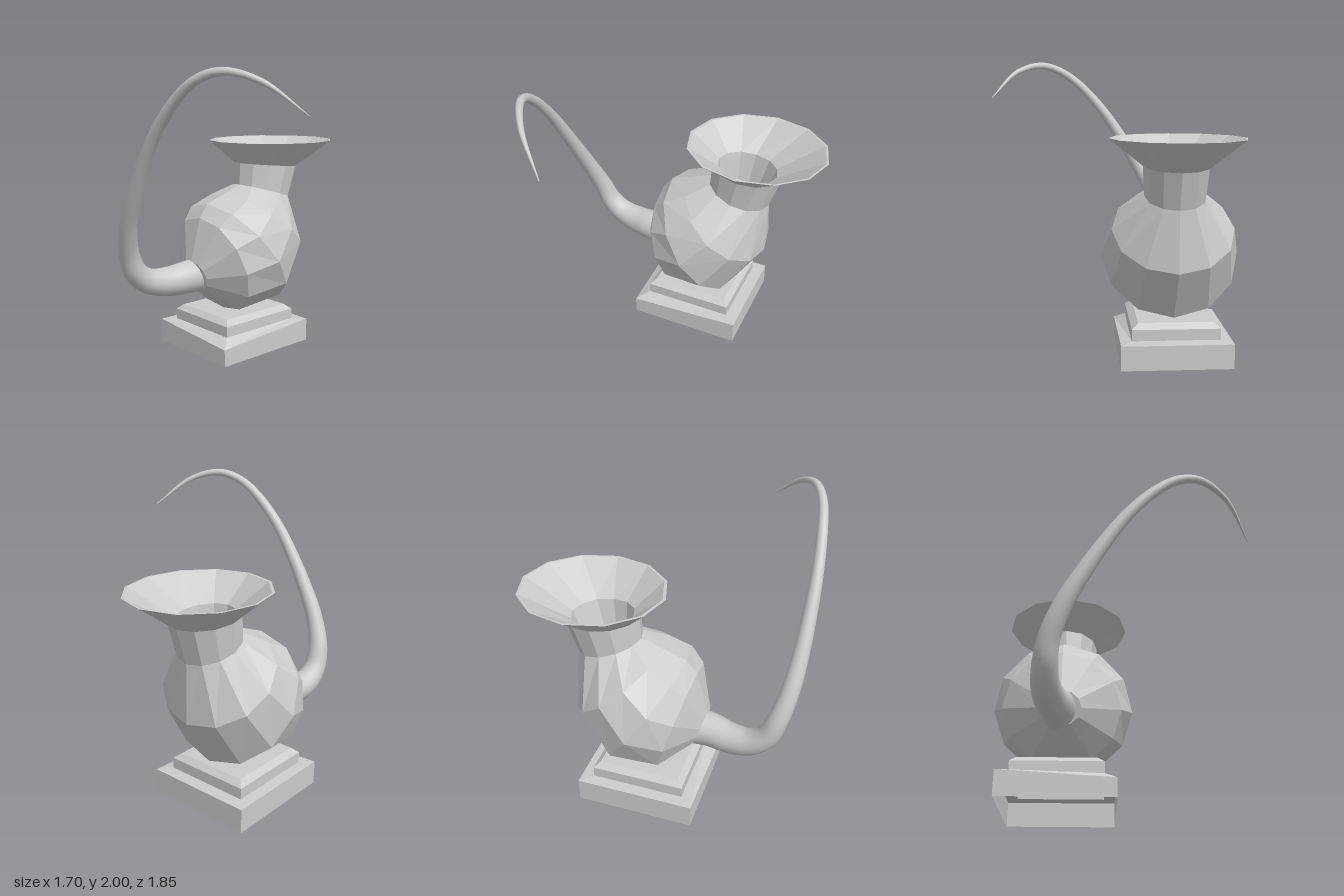
import * as THREE from 'three';

const CX = -0.385; // vase axis in x
const SIDES = 12;

// Skin a list of equal-length closed rings, with optional fan caps
function loft(rings, capStart, capEnd) {
  const pos = [], index = [], n = rings[0].length;
  rings.forEach(r => r.forEach(p => pos.push(...p)));
  for (let i = 0; i < rings.length - 1; i++) {
    for (let j = 0; j < n; j++) {
      const k = (j + 1) % n, a = i * n, b = a + n;
      index.push(a + j, a + k, b + k, a + j, b + k, b + j);
    }
  }
  const cap = (ri, flip) => {
    const c = pos.length / 3, mid = [0, 0, 0];
    rings[ri].forEach(p => p.forEach((v, m) => { mid[m] += v / n; }));
    pos.push(...mid);
    for (let j = 0; j < n; j++) {
      const a = ri * n + j, b = ri * n + (j + 1) % n;
      index.push(...(flip ? [b, a, c] : [a, b, c]));
    }
  };
  if (capStart) cap(0, true);
  if (capEnd) cap(rings.length - 1, false);
  const g = new THREE.BufferGeometry();
  g.setAttribute('position', new THREE.Float32BufferAttribute(pos, 3));
  g.setIndex(index);
  const flat = g.toNonIndexed();
  flat.computeVertexNormals();
  return flat;
}

// Tilted oval ring from its front point, back point and half width
function ovalRing([fz, fy, bz, by, hw]) {
  return Array.from({ length: SIDES }, (_, j) => {
    const a = j / SIDES * Math.PI * 2, c = Math.cos(a) / 2;
    return [
      CX + hw * Math.sin(a),
      Math.max(0.28, (fy + by) / 2 + (fy - by) * c),
      (fz + bz) / 2 + (fz - bz) * c,
    ];
  });
}

// Rectangular ring
function rectRing(x0, x1, z0, z1, y, dip = 0) {
  return [[x0, y, z1], [x1, y - dip, z1], [x1, y, z0], [x0, y, z0]];
}

function addMesh(group, name, geometry, options = {}) {
  const mesh = new THREE.Mesh(geometry, new THREE.MeshStandardMaterial({ color: 0xcccccc, ...options }));
  mesh.name = name;
  group.add(mesh);
}

// Tube whose radius follows the fourth value of each path point
function taperedTube(path, segments, sides) {
  const curve = new THREE.CatmullRomCurve3(path.map(p => new THREE.Vector3(p[0], p[1], p[2])));
  const g = new THREE.TubeGeometry(curve, segments, 1, sides, false);
  const p = g.attributes.position, c = new THREE.Vector3(), v = new THREE.Vector3();
  for (let i = 0; i <= segments; i++) {
    const u = i / segments;
    curve.getPointAt(u, c);
    const t = curve.getUtoTmapping(u) * (path.length - 1);
    const k = Math.min(Math.floor(t), path.length - 2);
    const r = THREE.MathUtils.lerp(path[k][3], path[k + 1][3], t - k);
    for (let j = 0; j <= sides; j++) {
      const id = i * (sides + 1) + j;
      v.fromBufferAttribute(p, id).sub(c).multiplyScalar(r).add(c);
      p.setXYZ(id, v.x, v.y, v.z);
    }
  }
  g.computeBoundingSphere();
  return g;
}

export function createModel() {
  const group = new THREE.Group();

  // Stepped hollow base
  addMesh(group, 'base', loft([
    rectRing(-0.765, -0.03, -0.47, 0.33, 0),
    rectRing(-0.765, -0.03, -0.47, 0.33, 0.165, 0.045),
    rectRing(-0.69, -0.105, -0.385, 0.245, 0.17),
    rectRing(-0.69, -0.105, -0.385, 0.245, 0.245),
    rectRing(-0.65, -0.15, -0.345, 0.205, 0.28),
  ], false, true), { flatShading: true, side: THREE.DoubleSide });

  // Vase: belly sweeps up from the spout end, then neck, flared rim and inside
  addMesh(group, 'vase', loft([
    [0.33, 0.68, 0.27, 0.46, 0.13],
    [0.25, 0.98, 0.04, 0.265, 0.385],
    [0.18, 1.07, -0.34, 0.31, 0.465],
    [0.03, 1.125, -0.55, 0.65, 0.405],
    [-0.12, 1.18, -0.55, 1.05, 0.2],
    [-0.13, 1.335, -0.63, 1.29, 0.215],
    [0.045, 1.495, -0.92, 1.485, 0.435],
    [0.025, 1.495, -0.905, 1.485, 0.42],
    [-0.17, 1.335, -0.59, 1.295, 0.18],
    [-0.2, 1.14, -0.5, 1.05, 0.14],
  ].map(ovalRing), true, true), { flatShading: true });

  // Long curling tapered spout
  addMesh(group, 'spout', taperedTube([
    [-0.41, 0.57, 0.2, 0.125], [-0.41, 0.565, 0.35, 0.115], [-0.44, 0.555, 0.5, 0.102],
    [-0.46, 0.58, 0.64, 0.088], [-0.46, 0.66, 0.74, 0.078], [-0.44, 0.8, 0.8, 0.068],
    [-0.36, 1.0, 0.85, 0.059], [-0.25, 1.2, 0.873, 0.052], [-0.13, 1.4, 0.883, 0.045],
    [0.02, 1.62, 0.883, 0.038], [0.2, 1.82, 0.862, 0.033], [0.35, 1.93, 0.83, 0.029],
    [0.5, 1.975, 0.765, 0.025], [0.68, 1.92, 0.64, 0.018], [0.845, 1.735, 0.44, 0.003],
  ], 90, 20), { side: THREE.DoubleSide });

  return group;
}
